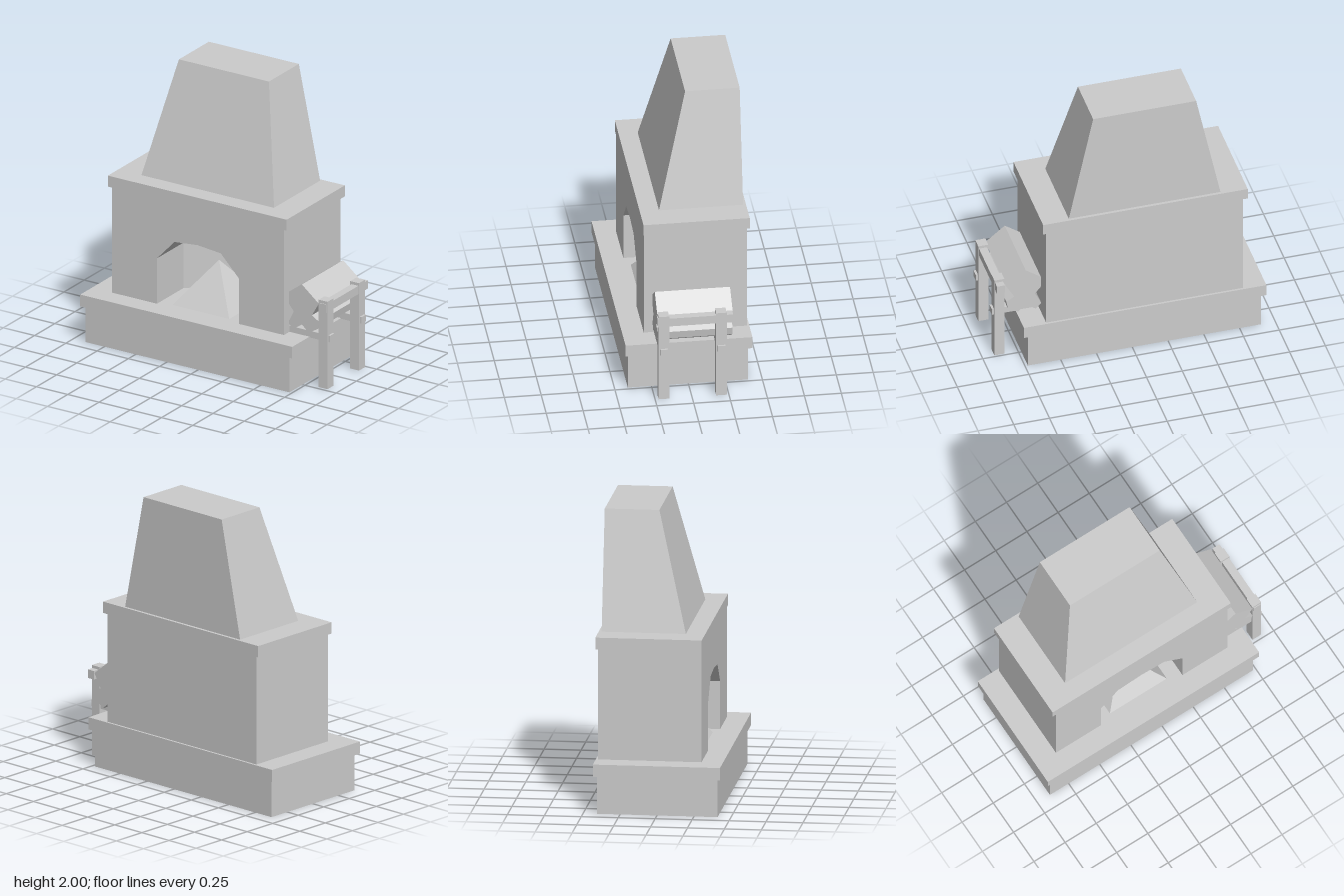
import * as THREE from 'three';

const material = new THREE.MeshStandardMaterial({ color: 0xcccccc, flatShading: true });

function add(group, name, geometry) {
  const mesh = new THREE.Mesh(geometry, material);
  mesh.name = name;
  group.add(mesh);
  return mesh;
}

// Box given by its extents on each axis
function box(group, name, [x0, x1], [y0, y1], [z0, z1]) {
  const mesh = add(group, name, new THREE.BoxGeometry(x1 - x0, y1 - y0, z1 - z0));
  mesh.position.set((x0 + x1) / 2, (y0 + y1) / 2, (z0 + z1) / 2);
  return mesh;
}

function extrude(points, depth) {
  const shape = new THREE.Shape(points.map(([x, y]) => new THREE.Vector2(x, y)));
  return new THREE.ExtrudeGeometry(shape, { depth, bevelEnabled: false });
}

export function createModel() {
  const model = new THREE.Group();
  model.name = 'fireplace';

  // Hearth base and slab
  box(model, 'hearthBase', [-0.9, 0.73], [0, 0.26], [-0.405, 0.41]);
  box(model, 'hearthSlab', [-0.93, 0.765], [0.26, 0.345], [-0.43, 0.43]);

  // Front wall with the arched opening
  const wall = [
    [-0.77, 0.345], [-0.41, 0.345], [-0.41, 0.675], [-0.27, 0.825], [-0.085, 0.843],
    [0.1, 0.825], [0.245, 0.675], [0.245, 0.345], [0.605, 0.345], [0.605, 1.11], [-0.77, 1.11],
  ];
  add(model, 'frontWall', extrude(wall, 0.33)).position.z = -0.045;

  // Rear wall: plan with a V-shaped firebox back (shape y becomes -z)
  const plan = [
    [-0.77, 0.045], [-0.41, 0.045], [-0.085, 0.3], [0.245, 0.045],
    [0.605, 0.045], [0.605, 0.415], [-0.77, 0.415],
  ];
  const rear = extrude(plan, 0.5);
  rear.rotateX(-Math.PI / 2);
  add(model, 'rearWall', rear).position.y = 0.345;
  box(model, 'rearWallTop', [-0.77, 0.605], [0.845, 1.11], [-0.415, -0.045]);

  // Mantel slab
  box(model, 'mantel', [-0.8, 0.63], [1.11, 1.19], [-0.43, 0.29]);

  // Tapered hood with an upright back
  const hood = new THREE.BoxGeometry(1, 1, 1);
  const pos = hood.attributes.position;
  for (let i = 0; i < pos.count; i++) {
    const top = pos.getY(i) > 0;
    const x = -0.085 + Math.sign(pos.getX(i)) * (top ? 0.36 : 0.53);
    const z = pos.getZ(i) < 0 ? -0.41 : top ? -0.04 : 0.16;
    pos.setXYZ(i, x, top ? 2 : 1.19, z);
  }
  hood.computeVertexNormals();
  add(model, 'hood', hood);

  // Pyramid of fire
  const fire = new THREE.ConeGeometry(0.228 * Math.SQRT2, 0.3, 4);
  fire.rotateY(Math.PI / 4);
  add(model, 'fire', fire).position.set(-0.085, 0.495, 0.02);

  // Stacked firewood
  const logs = [
    [0.71, 0.715], [0.6, 0.635], [0.6, 0.56], [0.645, 0.505], [0.6, 0.415], [0.64, 0.375],
    [0.71, 0.425], [0.765, 0.375], [0.835, 0.42], [0.845, 0.475], [0.79, 0.51], [0.845, 0.605],
  ];
  add(model, 'firewood', extrude(logs, 0.51)).position.z = -0.285;

  // Wood rack: two posts, two bearers and a rail
  const rack = new THREE.Group();
  rack.name = 'woodRack';
  for (const z of [0.19, -0.2]) {
    box(rack, 'rackPost', [0.845, 0.915], [0, 0.635], [z - 0.036, z + 0.036]);
    box(rack, 'rackBearer', [0.6, 0.93], [0.34, 0.388], [z - 0.026, z + 0.026]);
  }
  box(rack, 'rackRail', [0.855, 0.91], [0.555, 0.615], [-0.28, 0.232]);
  model.add(rack);

  return model;
}
